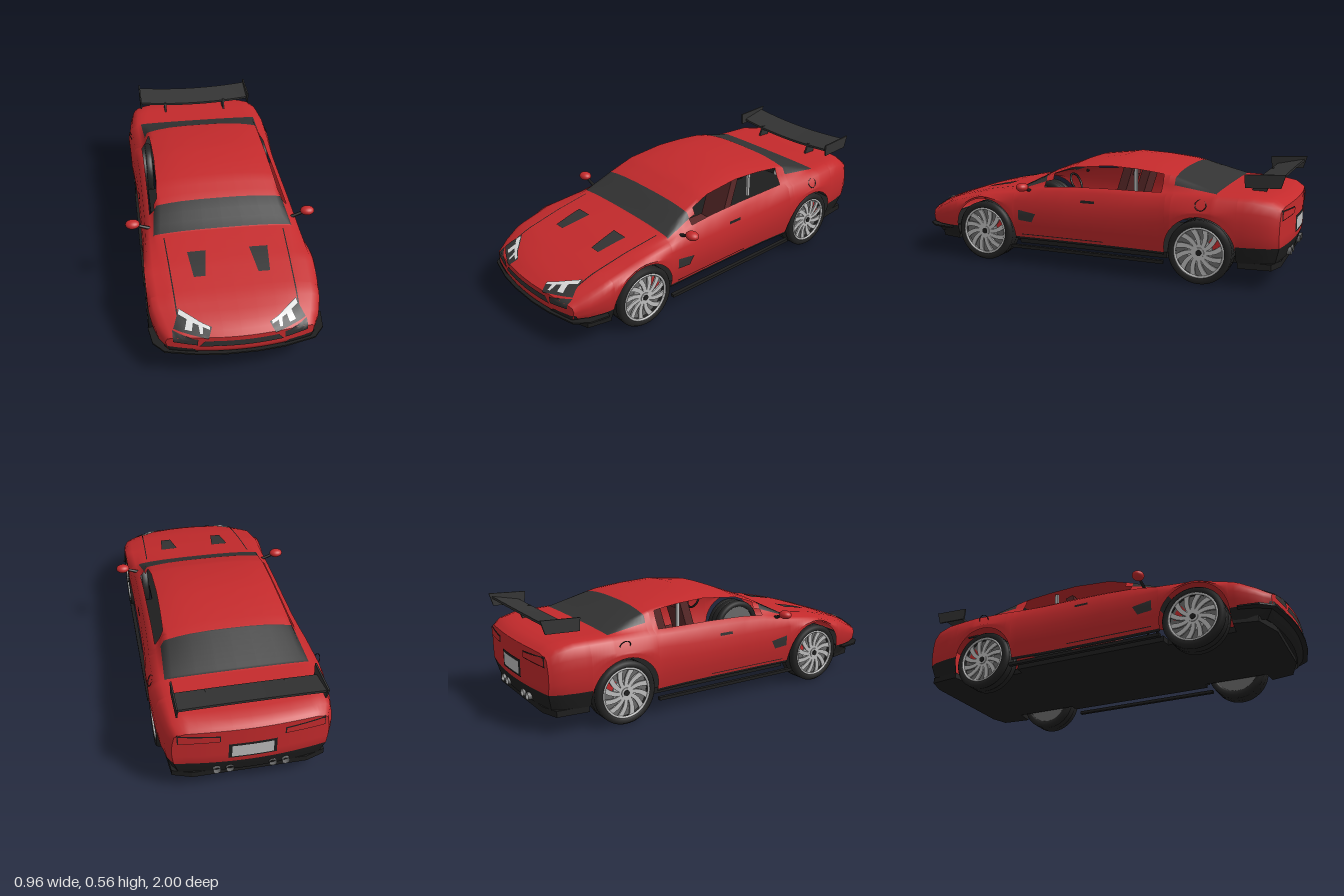
import * as THREE from 'three';

const mat = (name, color, side = THREE.DoubleSide) => new THREE.MeshStandardMaterial({ name, color, side });
const lerp = THREE.MathUtils.lerp, step = THREE.MathUtils.smoothstep;

export function createModel() {
  const car = new THREE.Group();
  car.name = 'sportsCar';
  const red = mat('red paint', 0xc42a2c), glass = mat('dark glass', 0x333333), trim = mat('black trim', 0x1e1e1e);
  const rubber = mat('tyre rubber', 0x222222), alloy = mat('light alloy', 0xbdbdbd), steel = mat('dark steel', 0x6a6a6a);
  const lamp = mat('lamp white', 0xdcdcdc), leather = mat('seat leather', 0x5c2a2a);

  const add = (name, geo, m, x = 0, y = 0, z = 0, parent = car) => {
    const mesh = new THREE.Mesh(geo, m);
    mesh.name = name;
    mesh.position.set(x, y, z);
    parent.add(mesh);
    return mesh;
  };

  // ---- Body shell: cross-sections along z -------------------------------
  // z, half width, shoulder y, belt x, belt y, roof edge x, roof edge y, centre y
  const keys = [
    [-0.995, .36, .33, .33, .375, .30, .385, .392], [-.95, .385, .35, .345, .405, .30, .415, .42],
    [-.85, .402, .36, .352, .424, .31, .43, .432], [-.66, .42, .362, .362, .428, .33, .433, .437],
    [-.45, .415, .35, .355, .425, .315, .49, .52], [-.38, .41, .345, .352, .422, .31, .507, .533],
    [-.25, .403, .335, .35, .42, .305, .52, .548], [-.1, .40, .33, .35, .42, .302, .527, .556],
    [.1, .40, .33, .35, .415, .305, .508, .53], [.24, .40, .33, .352, .405, .315, .458, .478],
    [.39, .402, .33, .362, .375, .335, .388, .402], [.6, .406, .332, .365, .349, .31, .357, .363],
    [.8, .402, .268, .355, .3, .30, .312, .319], [.92, .38, .232, .33, .263, .28, .273, .281],
    [.985, .345, .205, .31, .23, .27, .237, .245]];
  const keyAt = s => {
    let k = 0;
    while (k < keys.length - 2 && s > keys[k + 1][0]) k++;
    const a = keys[k], b = keys[k + 1], t = (s - a[0]) / (b[0] - a[0]);
    return a.map((v, i) => lerp(v, b[i], t));
  };
  const axleY = .155, R = .174, axles = [.575, -.595];
  const inArch = s => axles.find(c => Math.abs(s - c) < R);
  const bottom = s => {
    const c = inArch(s);
    return c !== undefined ? axleY + Math.sqrt(R * R - (s - c) ** 2) : s > .7 ? .108 : s < -.7 ? .12 : .125;
  };
  // Round the nose and tail in plan and rake the chin
  const bend = (x, y, s) => {
    const n = step(s, .75, .985), r = step(-s, .77, .995);
    return s - n * (.05 * (x / .34) ** 2 + Math.max(0, .15 - y)) + r * (.035 * (x / .36) ** 2 + .3 * Math.max(0, .2 - y));
  };
  // Half section from the sill up to the centre line
  const BELT = 6, MID = 7, EDGE = 8;
  const section = s => {
    const [, w, ySh, xB, yB, xC, yC, yt] = keyAt(s), yb = bottom(s);
    const yk = Math.max(yb + .01, s > .7 ? .165 : s < -.7 ? .2 : .138);
    const side = y => w - .03 * (Math.max(0, .28 - y) / .16) ** 2;
    const pts = [yb, yk, lerp(yk, ySh, .35), lerp(yk, ySh, .7)].map(y => [side(y), y]);
    pts.push([w - .006, ySh], [lerp(w, xB, .42), lerp(ySh, yB, .75)], [xB, yB],
      [lerp(xB, xC, .6), lerp(yB, yC, .5)], [xC, yC]);
    for (const f of [.93, .8, .6, .3, 0]) pts.push([xC * f, lerp(yC, yt, 1 - f ** 3)]);
    return pts;
  };
  const stations = [-.995, -.98, -.95, -.9, -.85, -.8, -.45, -.66, -.39, -.32, -.25, -.18, -.1, 0, .1, .15, .2, .24, .29, .34,
    .39, .78, .82, .87, .92, .955, .985];
  for (const c of axles) {
    stations.push(c - R - .001, c + R + .001);
    for (let i = 0; i <= 20; i++) stations.push(c - (R - .0005) * Math.cos(Math.PI * i / 20));
  }
  stations.sort((a, b) => a - b);

  const pos = [], idx = { red: [], glass: [], trim: [] };
  const N = section(0).length, cols = 2 * N - 1;
  for (const s of stations) {
    const half = section(s);
    const full = half.concat(half.slice(0, -1).reverse().map(([x, y]) => [-x, y]));
    for (const [x, y] of full) pos.push(x, y, bend(x, y, s));
  }
  for (let j = 0; j < stations.length - 1; j++) for (let i = 0; i < cols - 1; i++) {
    const s = (stations[j] + stations[j + 1]) / 2, row = Math.min(i, cols - 2 - i);
    const open = row >= BELT && row < EDGE && s > -.39 && s < (row < MID ? .24 : .2);
    if (open) continue;
    const glazed = row >= MID && ((s > .24 && s < .39) || (s > -.66 && s < -.45));
    const a = j * cols + i, b = a + cols;
    idx[glazed ? 'glass' : row === 0 && inArch(s) === undefined ? 'trim' : 'red'].push(a, a + 1, b, b, a + 1, b + 1);
  }
  // Nose and tail faces
  const K = 14;
  for (const s of [stations[0], stations[stations.length - 1]]) {
    const base = pos.length / 3, half = section(s);
    for (const [x, y] of half) for (let k = 0; k <= K; k++) {
      const px = x * (2 * k / K - 1);
      pos.push(px, y, bend(px, y, s));
    }
    for (let i = 0; i < N - 1; i++) for (let k = 0; k < K; k++) {
      const a = base + i * (K + 1) + k, c = a + K + 1;
      idx[i === 0 ? 'trim' : 'red'].push(...(s > 0 ? [a, a + 1, c, c, a + 1, c + 1] : [a, c, a + 1, a + 1, c, c + 1]));
    }
  }
  const shell = new THREE.BufferGeometry();
  shell.setAttribute('position', new THREE.Float32BufferAttribute(pos, 3));
  shell.setIndex([...idx.red, ...idx.glass, ...idx.trim]);
  shell.computeVertexNormals();
  const piece = (name, list, m) => add(name, shell.clone().setIndex(list), m);
  piece('bodyShell', idx.red, red);
  piece('windscreens', idx.glass, glass);
  piece('lowerBumpersAndSills', idx.trim, trim);

  // ---- Thin plates laid onto the shell ----------------------------------
  const target = new THREE.Mesh(shell, red), ray = new THREE.Raycaster();
  const views = { top: (u, v) => [[u, 2, v], [0, -1, 0]], side: (u, v) => [[2, v, u], [-1, 0, 0]],
    front: (u, v) => [[u, v, 2], [0, 0, -1]], back: (u, v) => [[u, v, -2], [0, 0, 1]] };
  const project = (view, u, v, off) => {
    const [o, d] = views[view](u, v).map(p => new THREE.Vector3(...p));
    ray.set(o, d);
    const hit = ray.intersectObject(target)[0];
    if (!hit) return null;
    const n = hit.face.normal.clone();
    if (n.dot(d) > 0) n.negate();
    return hit.point.addScaledVector(n, off);
  };
  const plate = (name, m, view, q, mirror = true, off = .004, nu = 8, nv = 4) => {
    const g = new THREE.PlaneGeometry(1, 1, nu, nv), p = g.attributes.position;
    let last = new THREE.Vector3();
    for (let i = 0; i < p.count; i++) {
      const u = p.getX(i) + .5, v = .5 - p.getY(i);
      const at = k => lerp(lerp(q[0][k], q[1][k], u), lerp(q[3][k], q[2][k], u), v);
      last = project(view, at(0), at(1), off) || last;
      p.setXYZ(i, last.x, last.y, last.z);
    }
    g.computeVertexNormals();
    add(name, g, m);
    if (mirror) add(name, g, m).scale.x = -1;
  };
  plate('hoodVent', glass, 'top', [[.105, .53], [.195, .53], [.18, .68], [.125, .68]]);
  plate('hoodSeam', trim, 'top', [[.293, .42], [.298, .42], [.28, .87], [.274, .87]], true, .003, 1, 20);
  plate('headlight', glass, 'front', [[.13, .267], [.27, .3], [.3, .254], [.15, .24]]);
  plate('lampBar', lamp, 'front', [[.14, .268], [.268, .298], [.272, .288], [.14, .26]], true, .007);
  plate('lampInner', lamp, 'front', [[.17, .272], [.19, .277], [.185, .25], [.172, .25]], true, .008);
  plate('lampOuter', lamp, 'front', [[.21, .279], [.235, .285], [.25, .257], [.22, .255]], true, .008);
  plate('bumperIntake', glass, 'front', [[.195, .235], [.305, .25], [.305, .212], [.197, .2]]);
  plate('centreGrille', glass, 'front', [[-.165, .226], [.165, .226], [.19, .195], [-.19, .195]], false, .004, 14);
  plate('chinCorner', trim, 'front', [[.215, .178], [.34, .185], [.34, .16], [.19, .16]]);
  plate('fenderVent', glass, 'side', [[.37, .285], [.27, .27], [.295, .225], [.37, .232]]);
  plate('doorHandle', trim, 'side', [[.02, .358], [-.055, .358], [-.055, .345], [.02, .345]]);
  plate('sillSeam', trim, 'side', [[.36, .157], [-.1, .157], [-.1, .153], [.36, .153]]);
  plate('tailLightFrame', trim, 'back', [[.145, .365], [.335, .375], [.335, .325], [.145, .33]], true, .003);
  plate('tailLight', red, 'back', [[.15, .361], [.33, .371], [.33, .329], [.15, .334]], true, .006);
  plate('plateRecess', trim, 'back', [[-.11, .31], [.11, .31], [.11, .225], [-.11, .225]], false, .003);
  plate('numberPlate', alloy, 'back', [[-.095, .3], [.095, .3], [.095, .235], [-.095, .235]], false, .006);

  // ---- Floor, chin splitter and sill bars -------------------------------
  const slab = (name, half, y, h, m) => {
    const pts = [...half, ...half.slice().reverse().map(([x, z]) => [-x, z])];
    const g = new THREE.ExtrudeGeometry(new THREE.Shape(pts.map(p => new THREE.Vector2(...p))), { depth: h, bevelEnabled: false });
    add(name, g.rotateX(Math.PI / 2), m, 0, y + h);
  };
  slab('floor', [[.27, -.96], [.36, -.93], [.375, -.775], [.28, -.765], [.28, -.42], [.33, -.415], [.33, .4], [.28, .405],
    [.28, .745], [.37, .755], [.345, .87], [.2, .92]], .092, .03, trim);
  slab('chinSplitter', [[.36, .78], [.41, .79], [.395, .89], [.345, .95], [.2, .985], [.08, .998]], .152, .008, trim);
  for (const sx of [1, -1]) {
    add('sillBar', new THREE.BoxGeometry(.02, .016, .83), trim, sx * .4, .092, -.005);
    for (const x of [.1, .16]) {
      add('exhaust', new THREE.CylinderGeometry(.018, .018, .05, 16, 1, true).rotateX(Math.PI / 2), steel, sx * x, .145, -.965);
    }
    // Door mirror and stalk
    add('doorMirror', new THREE.SphereGeometry(1, 20, 14).scale(.036, .022, .03), red, sx * .442, .413, .32);
    const stalk = add('mirrorStalk', new THREE.CylinderGeometry(.007, .009, .07, 8), trim, sx * .39, .393, .32);
    stalk.rotation.z = -sx * 1.2;
    const cap = project('side', -.6, .385, .001);
    add('fuelCapRing', new THREE.TorusGeometry(.027, .002, 6, 28).rotateY(Math.PI / 2).rotateZ(.45), trim, sx * cap.x, .385, -.6);
    // Seats and belt posts
    const back = add('seatBack', new THREE.BoxGeometry(.15, .3, .045), leather, sx * .16, .37, -.13);
    back.rotation.x = -.3;
    add('headrest', new THREE.BoxGeometry(.08, .06, .04), leather, sx * .16, .5, -.18);
    add('seatCushion', new THREE.BoxGeometry(.16, .06, .2), leather, sx * .16, .22, 0);
    add('beltPost', new THREE.BoxGeometry(.015, .14, .015), alloy, sx * .27, .45, -.23);
  }
  add('steeringWheel', new THREE.TorusGeometry(.05, .006, 8, 24), trim, .16, .405, .15).rotation.x = .45;

  // ---- Rear wing --------------------------------------------------------
  const blade = new THREE.BoxGeometry(.66, .012, .14, 16, 1, 4), bp = blade.attributes.position;
  for (let i = 0; i < bp.count; i++) {
    const x = bp.getX(i), z = bp.getZ(i), c = 1 - (x / .33) ** 2;
    bp.setY(i, bp.getY(i) - z * .22 - .012 * c);
    bp.setZ(i, z + .015 * c);
  }
  blade.computeVertexNormals();
  add('wingBlade', blade, glass, 0, .503, -.89);
  const sideProfile = (pts, t) => new THREE.ExtrudeGeometry(new THREE.Shape(pts.map(([z, y]) => new THREE.Vector2(-z, y))),
    { depth: t, bevelEnabled: false }).translate(0, 0, -t / 2).rotateY(Math.PI / 2);
  for (const sx of [1, -1]) {
    add('wingEndPlate', sideProfile([[-.785, .53], [-.975, .54], [-.955, .475], [-.79, .468]], .008), glass, sx * .33);
    add('wingSupport', sideProfile([[-.815, .49], [-.89, .495], [-.86, .425], [-.79, .425]], .01), glass, sx * .18);
  }

  // ---- Wheels -----------------------------------------------------------
  const tyreGeo = new THREE.LatheGeometry([[.12, -.05], [.128, -.056], [.146, -.057], [.155, -.046], [.155, -.025], [.15, -.022],
    [.15, -.018], [.155, -.015], [.155, .015], [.15, .018], [.15, .022], [.155, .025], [.155, .046], [.146, .057], [.128, .056],
    [.12, .05]].map(p => new THREE.Vector2(...p)), 48).rotateZ(-Math.PI / 2);
  const spoke = new THREE.Shape();
  spoke.moveTo(.018, -.008);
  spoke.quadraticCurveTo(.07, -.016, .117, .022);
  spoke.lineTo(.108, .048);
  spoke.quadraticCurveTo(.07, .008, .018, .008);
  const spokeGeo = new THREE.ExtrudeGeometry(spoke, { depth: .008, bevelEnabled: false, curveSegments: 6 }).rotateY(Math.PI / 2);
  const disc = (r, h) => new THREE.CylinderGeometry(r, r, h, 36).rotateZ(Math.PI / 2);
  for (const z of axles) for (const sx of [1, -1]) {
    const wheel = new THREE.Group();
    wheel.name = 'wheel';
    wheel.position.set(sx * .348, axleY, z);
    wheel.scale.x = sx;
    car.add(wheel);
    add('tyre', tyreGeo, rubber, 0, 0, 0, wheel);
    add('rimBarrel', disc(.121, .07), steel, -.01, 0, 0, wheel);
    add('rimLip', new THREE.TorusGeometry(.119, .006, 8, 40).rotateY(Math.PI / 2), alloy, .05, 0, 0, wheel);
    const caliper = new THREE.RingGeometry(.065, .105, 10, 1, .1, .8).rotateY(Math.PI / 2);
    add('brakeCaliper', caliper, red, .028, 0, 0, wheel);
    add('brakeDisc', disc(.06, .006), alloy, .026, 0, 0, wheel);
    for (let i = 0; i < 12; i++) add('spoke', spokeGeo, alloy, .04, 0, 0, wheel).rotation.x = i * Math.PI / 6;
    add('hub', disc(.025, .014), alloy, .045, 0, 0, wheel);
    add('hubCap', disc(.014, .008), trim, .052, 0, 0, wheel);
  }
  return car;
}
